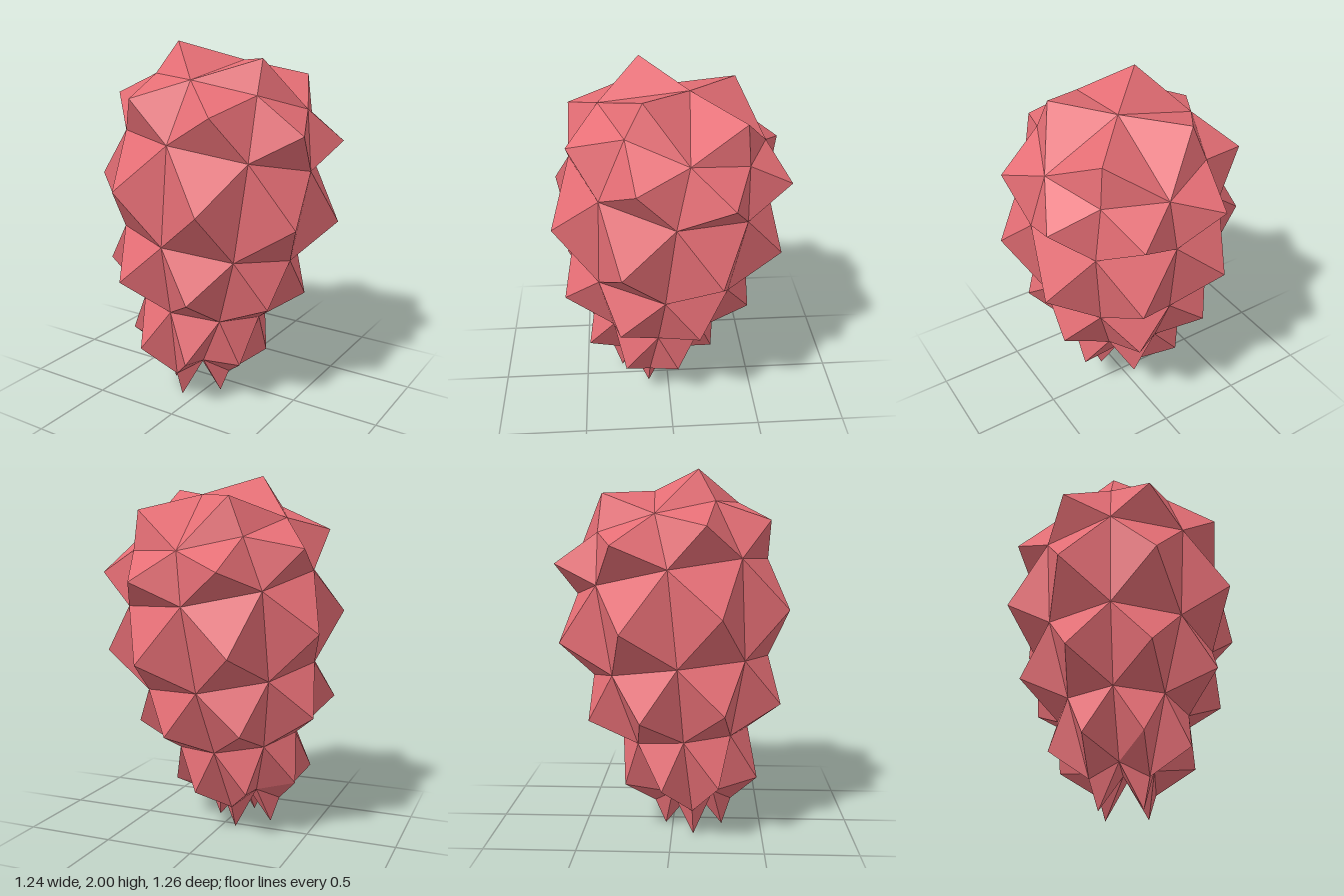
import * as THREE from 'three';

const SIDES = 8;

// Point on a tilted ring; step counts eighths of a turn from +z towards +x
function onRing([cx, cy, cz, r, tiltX, tiltZ], step) {
  const a = (step / SIDES) * Math.PI * 2;
  const dx = Math.sin(a) * r, dz = Math.cos(a) * r;
  return [cx + dx, cy + dx * tiltX + dz * tiltZ, cz + dz];
}

// Four-sided spike over corners listed anticlockwise from outside
function spike(out, corners, apex) {
  corners.forEach((c, i) => out.push(...c, ...corners[(i + 1) % corners.length], ...apex));
}

function facetedMesh(name, positions, material) {
  const geometry = new THREE.BufferGeometry();
  geometry.setAttribute('position', new THREE.Float32BufferAttribute(positions, 3));
  geometry.computeVertexNormals();
  const mesh = new THREE.Mesh(geometry, material);
  mesh.name = name;
  return mesh;
}

export function createModel() {
  const group = new THREE.Group();
  group.name = 'spikyCone';
  const material = new THREE.MeshStandardMaterial({ color: 0xe56e75, flatShading: true });

  // Valley rings from bottom to top: centre x, y, z, radius, slope along x, slope along z
  const valleys = [
    [-0.08, 0.145, 0.115, 0.215, -0.04, 0.04],
    [-0.05, 0.535, 0.07, 0.354, -0.1, 0.1],
    [-0.02, 0.92, 0.04, 0.495, -0.13, 0.12],
    [0.02, 1.42, -0.01, 0.537, -0.13, 0.185],
    [0.055, 1.715, -0.08, 0.44, -0.12, 0.26],
  ];
  // Spike tips between each pair of valley rings
  const tips = [
    [-0.075, 0.29, 0.105, 0.395, -0.08, 0.07],
    [-0.047, 0.68, 0.067, 0.565, -0.1, 0.1],
    [0, 1.14, 0.01, 0.67, -0.12, 0.15],
    [0.03, 1.59, -0.055, 0.628, -0.12, 0.2],
  ];
  const topTips = [0.087, 1.905, -0.118, 0.365, -0.13, 0.24];
  const topCentre = [0.09, 1.895, -0.11];
  const bottomTips = [-0.08, 0, 0.12, 0.16, 0, 0];
  const bottomCentre = [-0.085, 0.2, 0.12];

  const rings = valleys.map(v => Array.from({ length: SIDES }, (_, i) => onRing(v, i)));
  // Bottom diagonals are drawn in and up between the foot spikes
  for (let i = 1; i < SIDES; i += 2) {
    rings[0][i] = onRing([-0.08, 0.225, 0.115, 0.16, -0.04, 0.04], i);
  }

  // Rows of spikes around the body
  tips.forEach((row, k) => {
    const positions = [];
    for (let i = 0; i < SIDES; i++) {
      const j = (i + 1) % SIDES;
      spike(positions, [rings[k][i], rings[k][j], rings[k + 1][j], rings[k + 1][i]], onRing(row, i + 0.5));
    }
    group.add(facetedMesh(`spikeRow${k + 1}`, positions, material));
  });

  // Four crown spikes on the diagonals, four foot spikes on the axes
  const crown = [], foot = [];
  const top = rings[rings.length - 1], bottom = rings[0];
  for (let i = 0; i < SIDES; i += 2) {
    spike(crown, [topCentre, top[i], top[i + 1], top[(i + 2) % SIDES]], onRing(topTips, i + 1));
    spike(foot, [bottomCentre, bottom[i + 1], bottom[i], bottom[(i + 7) % SIDES]], onRing(bottomTips, i));
  }
  group.add(facetedMesh('crownSpikes', crown, material));
  group.add(facetedMesh('footSpikes', foot, material));
  return group;
}
